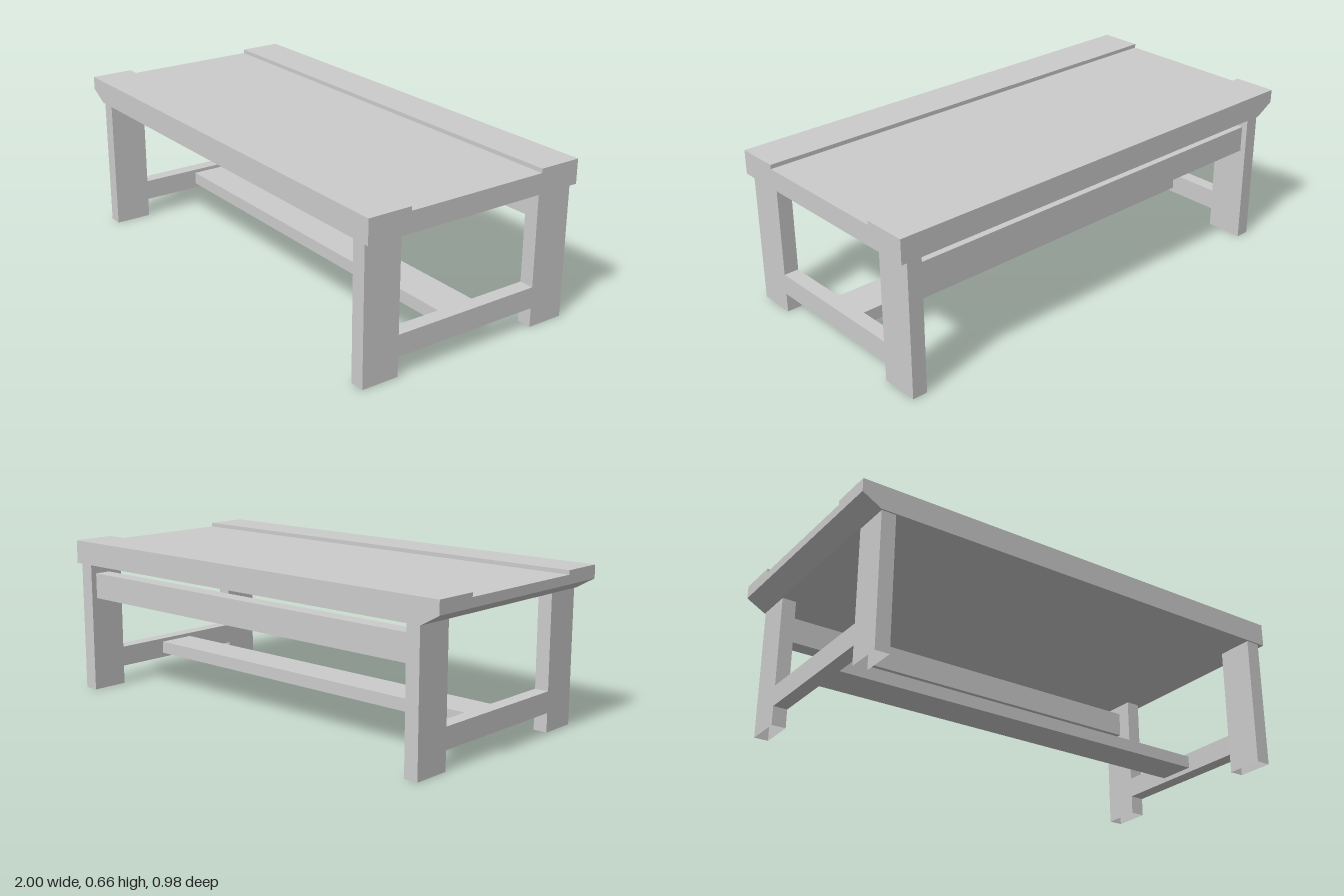
import * as THREE from 'three';

const material = new THREE.MeshStandardMaterial({ color: 0xcccccc, flatShading: true, side: THREE.DoubleSide });

// Box given by its limits along each axis
function bar(name, [x0, x1], [y0, y1], [z0, z1]) {
  const geometry = new THREE.BoxGeometry(x1 - x0, y1 - y0, z1 - z0);
  geometry.translate((x0 + x1) / 2, (y0 + y1) / 2, (z0 + z1) / 2);
  const mesh = new THREE.Mesh(geometry, material);
  mesh.name = name;
  return mesh;
}

// Leg tube: a box without its top and bottom faces
function leg(name, xs, zs) {
  const mesh = bar(name, xs, [0, 0.56], zs);
  const index = Array.from(mesh.geometry.index.array);
  index.splice(12, 12);
  mesh.geometry.setIndex(index);
  mesh.geometry.clearGroups();
  return mesh;
}

// Top board, running along x, with its lower right-hand end cut at a slant
function board(name, top, z0, z1) {
  const shape = new THREE.Shape([
    [-1, 0.605], [-0.92, 0.56], [1, 0.56], [1, top], [-1, top],
  ].map(([x, y]) => new THREE.Vector2(x, y)));
  const geometry = new THREE.ExtrudeGeometry(shape, { depth: z1 - z0, bevelEnabled: false });
  geometry.translate(0, 0, z0);
  const mesh = new THREE.Mesh(geometry, material);
  mesh.name = name;
  return mesh;
}

export function createModel() {
  const group = new THREE.Group();
  group.name = 'bench';

  // Table top: sunken panel between two raised edge boards
  group.add(
    board('centrePanel', 0.643, -0.306, 0.306),
    board('frontEdgeBoard', 0.66, 0.306, 0.49),
    board('backEdgeBoard', 0.66, -0.49, -0.306),
  );

  // Legs and the stretcher joining each end pair
  const ends = { right: [-0.915, -0.855], left: [0.91, 0.973] };
  for (const [side, xs] of Object.entries(ends)) {
    group.add(
      leg(side + 'FrontLeg', xs, [0.325, 0.483]),
      leg(side + 'BackLeg', xs, [-0.485, -0.325]),
      bar(side + 'EndStretcher', xs, [0.08, 0.168], [-0.325, 0.325]),
    );
  }

  // Long members between the two ends
  group.add(
    bar('centreStretcher', [-0.855, 0.91], [0.1, 0.153], [-0.095, 0.07]),
    bar('backRail', [-0.855, 0.91], [0.41, 0.52], [-0.46, -0.39]),
  );
  return group;
}
